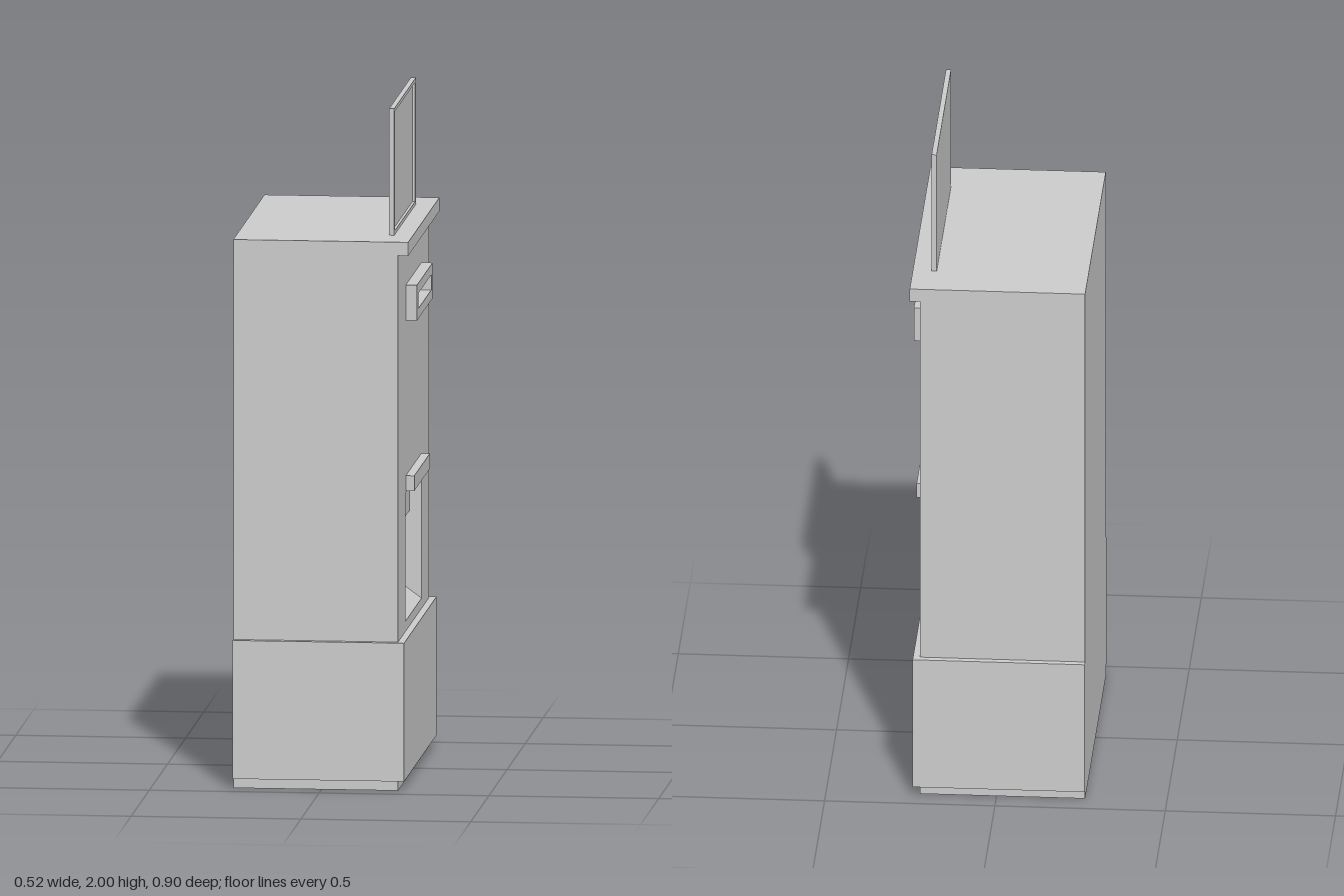
import * as THREE from 'three';

const material = new THREE.MeshStandardMaterial({ color: 0xcccccc, flatShading: true });

export function createModel() {
  const model = new THREE.Group();
  model.name = 'kiosk';

  const add = (name, geometry) => {
    const mesh = new THREE.Mesh(geometry, material);
    mesh.name = name;
    model.add(mesh);
    return mesh;
  };

  // Box given by its limits on each axis
  const box = (name, [x0, x1], [y0, y1], [z0, z1]) =>
    add(name, new THREE.BoxGeometry(x1 - x0, y1 - y0, z1 - z0)
      .translate((x0 + x1) / 2, (y0 + y1) / 2, (z0 + z1) / 2));

  // Side profile (x, y) swept along z
  const sweep = (name, points, z0, z1) => {
    const shape = new THREE.Shape(points.map(([x, y]) => new THREE.Vector2(x, y)));
    const geometry = new THREE.ExtrudeGeometry(shape, { depth: z1 - z0, bevelEnabled: false });
    return add(name, geometry.translate(0, 0, z0));
  };

  // Rectangular frame facing +x, open through the middle
  const frame = (name, [x0, x1], [y0, y1], halfZ, [iy0, iy1], innerHalfZ) => {
    const rect = (Type, h, b, t) => new Type([[-h, b], [h, b], [h, t], [-h, t]]
      .map(([u, v]) => new THREE.Vector2(u, v)));
    const shape = rect(THREE.Shape, halfZ, y0, y1);
    shape.holes.push(rect(THREE.Path, innerHalfZ, iy0, iy1));
    const geometry = new THREE.ExtrudeGeometry(shape, { depth: x1 - x0, bevelEnabled: false });
    return add(name, geometry.rotateY(Math.PI / 2).translate(x0, 0, 0));
  };

  const back = -0.26, front = 0.225, top = 1.625;
  const halfWidth = 0.43, trayHalf = 0.22;

  // Cabinet: the middle carries the tray recess with its sloping floor
  const head = [[front, 1.585], [0.255, 1.585], [0.255, top], [back, top]];
  const foot = [[back, 0], [front, 0]];
  const recess = [[front, 0.47], [0.075, 0.58], [0.075, 0.835], [0.19, 0.835], [front, 0.85]];
  sweep('cabinetMiddle', [...foot, ...recess, ...head], -trayHalf, trayHalf);
  sweep('cabinetLeftSide', [...foot, ...head], -halfWidth, -trayHalf);
  sweep('cabinetRightSide', [...foot, ...head], trayHalf, halfWidth);

  // Tray flap and the ledge above it
  box('trayFlap', [0.16, 0.19], [0.73, 0.835], [-trayHalf, trayHalf]);
  box('trayLedge', [front, 0.25], [0.855, 0.9], [-0.215, 0.215]);

  // Plinth band wrapping the front and both sides
  const bandY = [0.03, 0.44];
  box('plinthFront', [front, 0.245], bandY, [-0.45, 0.45]);
  box('plinthSideA', [back, front], bandY, [halfWidth, 0.45]);
  box('plinthSideB', [back, front], bandY, [-0.45, -halfWidth]);

  // Slot surround
  frame('slotBezel', [front, 0.258], [1.36, 1.465], 0.215, [1.39, 1.435], 0.18);

  // Upright display: thin backing with a raised rim
  box('displayPanel', [0.185, 0.192], [top, 2], [-0.3, 0.3]);
  frame('displayRim', [0.192, 0.2], [top, 2], 0.3, [1.636, 1.989], 0.278);

  return model;
}
